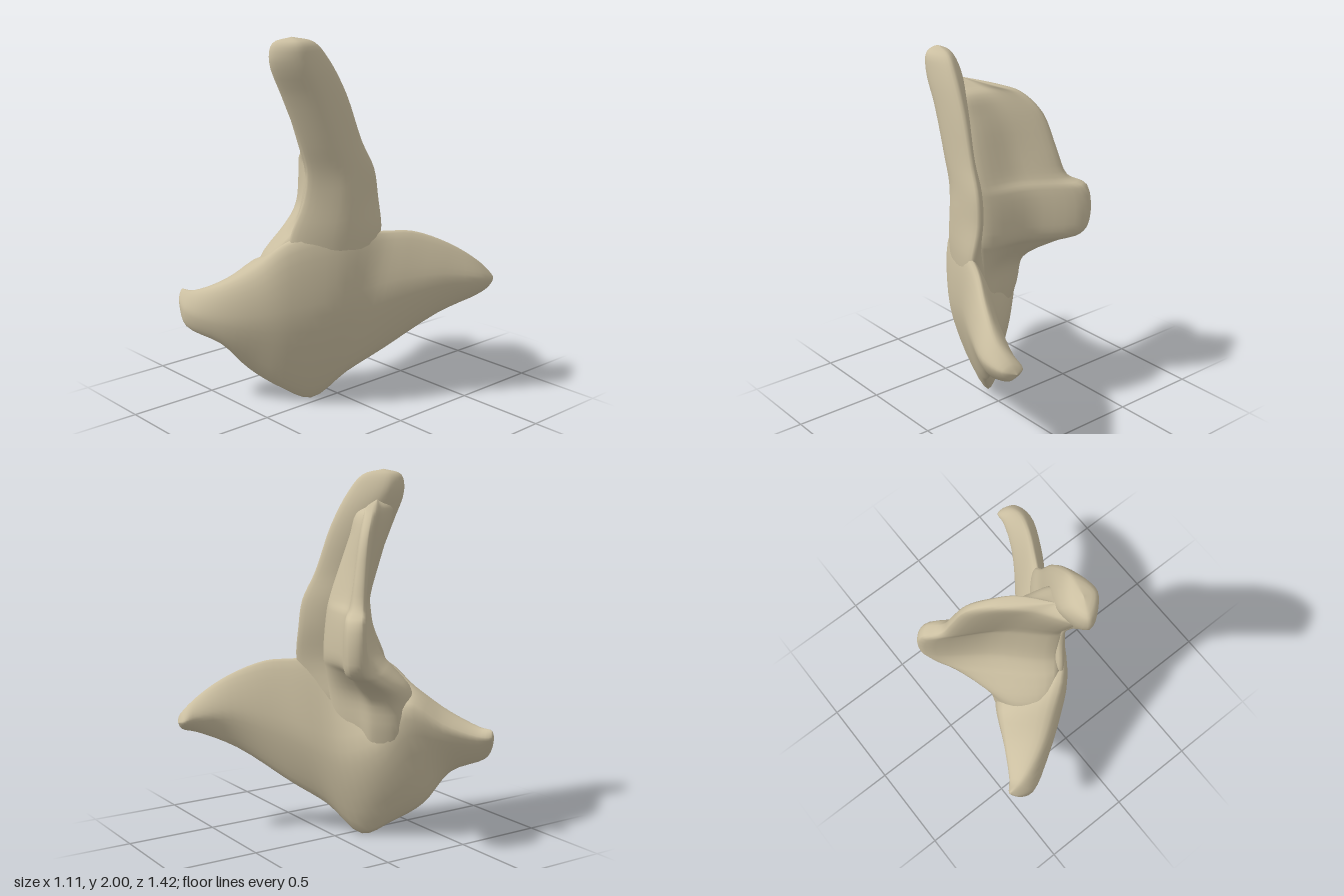
import * as THREE from 'three';

const bone = new THREE.MeshStandardMaterial({ color: 0xcbbfa1 });
bone.name = 'bone tan';

const v = (p) => new THREE.Vector3(...p);

// Smooth closed skin through a list of cross-section loops; a one-point section closes an end.
function loft(name, sections, around = 28, perSpan = 4) {
  const loops = sections.map((s) => {
    if (s.length === 1) return Array.from({ length: around }, () => v(s[0]));
    const c = new THREE.CatmullRomCurve3(s.map(v), true);
    return Array.from({ length: around }, (_, j) => c.getPoint(j / around));
  });
  const rows = (sections.length - 1) * perSpan;
  const pos = [], idx = [];
  const rails = Array.from({ length: around }, (_, j) => new THREE.CatmullRomCurve3(loops.map((l) => l[j])));
  for (let i = 0; i <= rows; i++) {
    for (let j = 0; j < around; j++) pos.push(...rails[j].getPoint(i / rows).toArray());
  }
  for (let i = 0; i < rows; i++) {
    for (let j = 0; j < around; j++) {
      const a = i * around + j, b = i * around + (j + 1) % around;
      idx.push(a, b, b + around, a, b + around, a + around);
    }
  }
  // Turn the faces outward if the enclosed volume comes out negative
  const at = (k) => new THREE.Vector3().fromArray(pos, idx[k] * 3);
  let volume = 0;
  for (let k = 0; k < idx.length; k += 3) volume += at(k).dot(at(k + 1).cross(at(k + 2)));
  if (volume < 0) idx.reverse();
  const g = new THREE.BufferGeometry();
  g.setAttribute('position', new THREE.Float32BufferAttribute(pos, 3));
  g.setIndex(idx);
  g.computeVertexNormals();
  const mesh = new THREE.Mesh(g, bone);
  mesh.name = name;
  return mesh;
}

export function createModel() {
  const group = new THREE.Group();
  group.name = 'boneFragment';

  // Wide blade from the front horn to the rear horn: top, outer face, bottom, inner face
  group.add(loft('mainBlade', [
    [[-0.55, 0.60, 0.655]],
    [[-0.54, 0.62, 0.65], [-0.51, 0.57, 0.69], [-0.52, 0.53, 0.68], [-0.55, 0.58, 0.64]],
    [[-0.46, 0.625, 0.64], [-0.42, 0.53, 0.70], [-0.45, 0.44, 0.69], [-0.50, 0.58, 0.58]],
    [[-0.28, 0.69, 0.57], [-0.25, 0.50, 0.61], [-0.30, 0.35, 0.57], [-0.41, 0.64, 0.42]],
    [[-0.12, 0.80, 0.47], [-0.07, 0.50, 0.48], [-0.25, 0.18, 0.42], [-0.31, 0.75, 0.24]],
    [[0.03, 0.95, 0.36], [0.05, 0.52, 0.37], [-0.14, 0.07, 0.29], [-0.20, 0.56, 0.13]],
    [[0.17, 1.00, 0.14], [0.18, 0.56, 0.19], [-0.05, 0.00, 0.15], [-0.03, 0.48, 0.01]],
    [[0.25, 0.97, -0.09], [0.25, 0.62, 0.01], [0.09, 0.16, 0.01], [0.09, 0.55, -0.12]],
    [[0.33, 0.96, -0.24], [0.35, 0.67, -0.15], [0.20, 0.28, -0.15], [0.21, 0.62, -0.26]],
    [[0.43, 0.88, -0.42], [0.47, 0.70, -0.35], [0.38, 0.48, -0.40], [0.335, 0.68, -0.45]],
    [[0.49, 0.77, -0.58], [0.555, 0.68, -0.55], [0.49, 0.57, -0.59], [0.41, 0.66, -0.63]],
    [[0.48, 0.69, -0.68], [0.535, 0.66, -0.67], [0.49, 0.60, -0.68], [0.42, 0.65, -0.695]],
    [[0.47, 0.64, -0.71]],
  ]));

  // Upright horn: front edge, outer face, back edge, inner face as [x, z] at each height
  const column = [
    [0.70, [0.02, 0.36], [0.16, 0.15], [0.20, -0.02], [0.02, 0.08]],
    [0.95, [0.03, 0.36], [0.20, 0.16], [0.245, -0.09], [0.06, 0.08]],
    [1.15, [0.07, 0.30], [0.21, 0.13], [0.21, -0.10], [0.07, 0.06]],
    [1.30, [0.09, 0.29], [0.205, 0.13], [0.20, -0.08], [0.07, 0.08]],
    [1.45, [0.09, 0.33], [0.20, 0.18], [0.18, -0.01], [0.07, 0.14]],
    [1.70, [0.06, 0.42], [0.19, 0.28], [0.16, 0.08], [0.03, 0.24]],
    [1.88, [0.05, 0.49], [0.18, 0.37], [0.14, 0.18], [0.00, 0.33]],
    [1.97, [0.05, 0.47], [0.16, 0.39], [0.12, 0.26], [0.03, 0.37]],
  ].map(([y, ...loop]) => loop.map(([x, z]) => [x, y, z]));
  group.add(loft('uprightHorn', [[[0.09, 0.65, 0.14]], ...column, [[0.09, 2.0, 0.38]]]));

  // Side fin: height, half thickness, front and back fullness, free edge, front root, back root
  const n = 0.7;
  const fin = [
    [1.80, 0.02, 0.00, 0.02, [-0.12, 0.14], [0.04, 0.41], [0.08, 0.26]],
    [1.76, 0.02, 0.00, 0.02, [-0.21, 0.07], [0.05, 0.41], [0.09, 0.20]],
    [1.65, 0.02, 0.00, 0.02, [-0.29, -0.01], [0.06, 0.38], [0.10, 0.17]],
    [1.45, 0.025, 0.00, 0.00, [-0.34, -0.07], [0.08, 0.32], [0.12, 0.10]],
    [1.31, 0.03, 0.00, 0.00, [-0.38, -0.11], [0.09, 0.28], [0.13, 0.05]],
    [1.25, 0.04, 0.00, 0.01, [-0.46, -0.18], [0.09, 0.28], [0.13, 0.04]],
    [1.05, 0.04, 0.02, 0.02, [-0.475, -0.19], [0.06, 0.30], [0.13, 0.02]],
    [0.98, 0.04, 0.05, 0.02, [-0.45, -0.16], [0.04, 0.33], [0.13, 0.02]],
    [0.93, 0.04, 0.07, 0.02, [-0.38, -0.06], [0.01, 0.36], [0.12, 0.02]],
    [0.80, 0.06, 0.10, 0.02, [-0.27, 0.12], [-0.08, 0.42], [0.10, 0.02]],
    [0.62, 0.07, 0.08, 0.02, [-0.25, 0.16], [-0.10, 0.42], [0.08, 0.02]],
    [0.38, 0.06, 0.01, 0.02, [-0.18, 0.19], [-0.08, 0.36], [0.04, 0.06]],
  ].map(([y, t, front, back, [x, z], f, b]) => [
    [x - n * t, y, z + n * t],
    [(x + f[0]) / 2 - n * front, y, (z + f[1]) / 2 + n * front],
    [f[0], y, f[1]],
    [b[0], y, b[1]],
    [(x + b[0]) / 2 + n * (back - 0.03), y, (z + b[1]) / 2 - n * (back - 0.03)],
    [x + n * t, y, z - n * t],
  ]);
  group.add(loft('sideFin', [[[0.02, 1.84, 0.29]], ...fin, [[-0.08, 0.12, 0.22]]], 36));

  return group;
}
